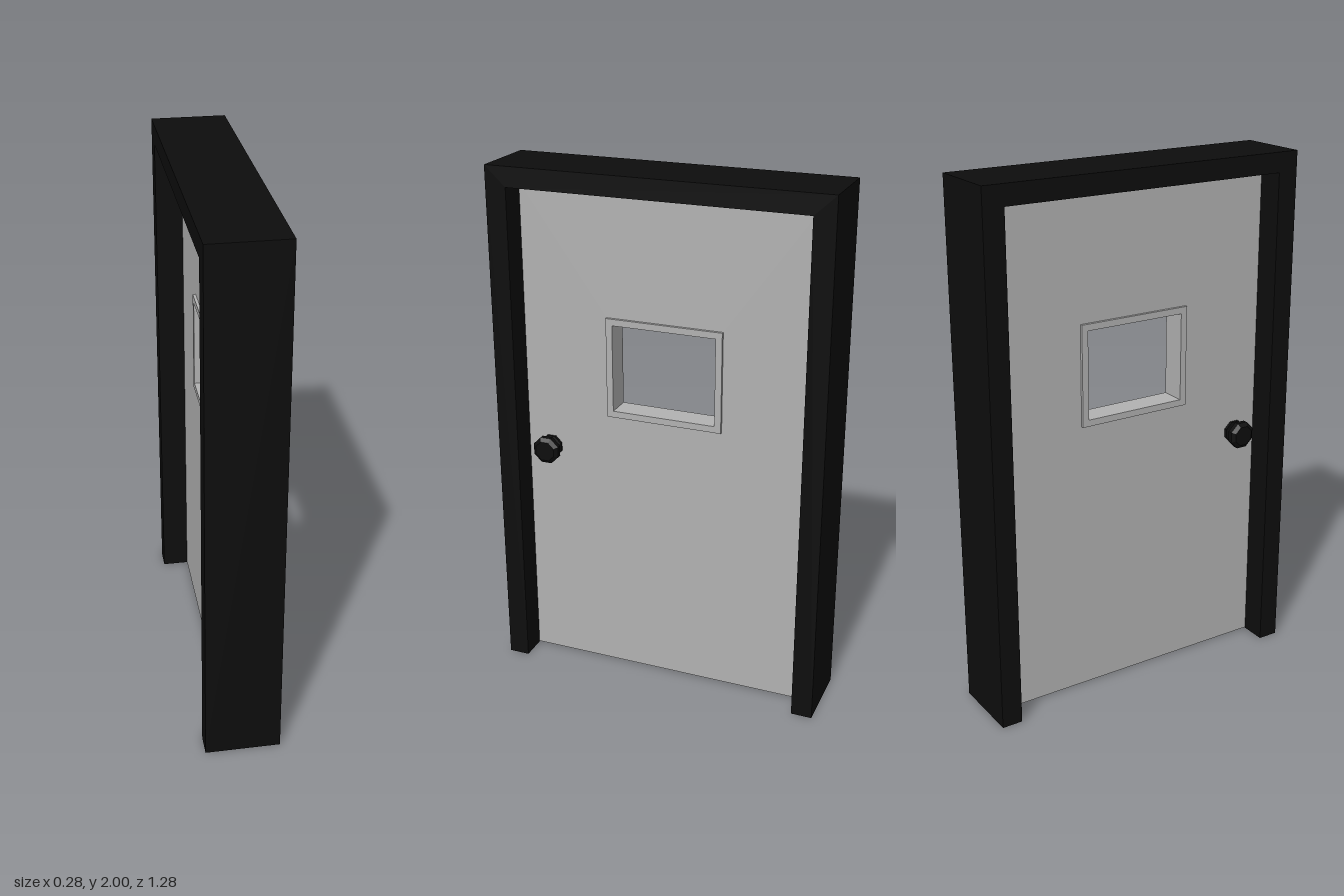
import * as THREE from 'three';

// Closed rectangle as points, in the (z, y) plane of the door
const rect = (halfWidth, y0, y1) => [
  new THREE.Vector2(-halfWidth, y0),
  new THREE.Vector2(halfWidth, y0),
  new THREE.Vector2(halfWidth, y1),
  new THREE.Vector2(-halfWidth, y1),
];

// Extrudes an outline across the wall thickness, centred on x = 0
function slab(name, outline, hole, thickness, material) {
  const shape = new THREE.Shape(outline);
  if (hole) shape.holes.push(new THREE.Path(hole));
  const geometry = new THREE.ExtrudeGeometry(shape, { depth: thickness, bevelEnabled: false });
  geometry.translate(0, 0, -thickness / 2);
  geometry.rotateY(Math.PI / 2);
  const mesh = new THREE.Mesh(geometry, material);
  mesh.name = name;
  return mesh;
}

export function createModel() {
  const black = new THREE.MeshStandardMaterial({ color: 0x0d0d0d });
  black.name = 'black';
  const grey = new THREE.MeshStandardMaterial({ color: 0xb2b2b2 });
  grey.name = 'grey';
  black.flatShading = true;

  const model = new THREE.Group();
  model.name = 'door';

  // Door frame: two jambs and a header, open at the floor
  const frameOutline = [
    [-0.64, 0], [-0.56, 0], [-0.56, 1.925], [0.56, 1.925],
    [0.56, 0], [0.64, 0], [0.64, 2], [-0.64, 2],
  ].map(([z, y]) => new THREE.Vector2(z, y));
  model.add(slab('frame', frameOutline, null, 0.28, black));

  // Door leaf with a window opening, lined by a slightly raised trim
  const trimOuter = rect(0.225, 1.07, 1.455);
  model.add(slab('doorPanel', rect(0.56, 0.003, 1.925), trimOuter, 0.075, grey));
  model.add(slab('windowTrim', trimOuter, rect(0.2, 1.095, 1.43), 0.097, grey));

  // Octagonal knob on each face: rose, stem and grip
  const profile = [
    [0, 0], [0.045, 0], [0.045, 0.012], [0.024, 0.016], [0.024, 0.028],
    [0.055, 0.038], [0.055, 0.056], [0.04, 0.068], [0, 0.068],
  ].map(([r, d]) => new THREE.Vector2(r, d));
  const knobGeometry = new THREE.LatheGeometry(profile, 8, Math.PI / 8);
  for (const side of [1, -1]) {
    const knob = new THREE.Mesh(knobGeometry, black);
    knob.name = side > 0 ? 'leftKnob' : 'rightKnob';
    knob.position.set(side * 0.0375, 0.91, 0.465);
    knob.rotation.z = -side * Math.PI / 2;
    model.add(knob);
  }

  return model;
}
